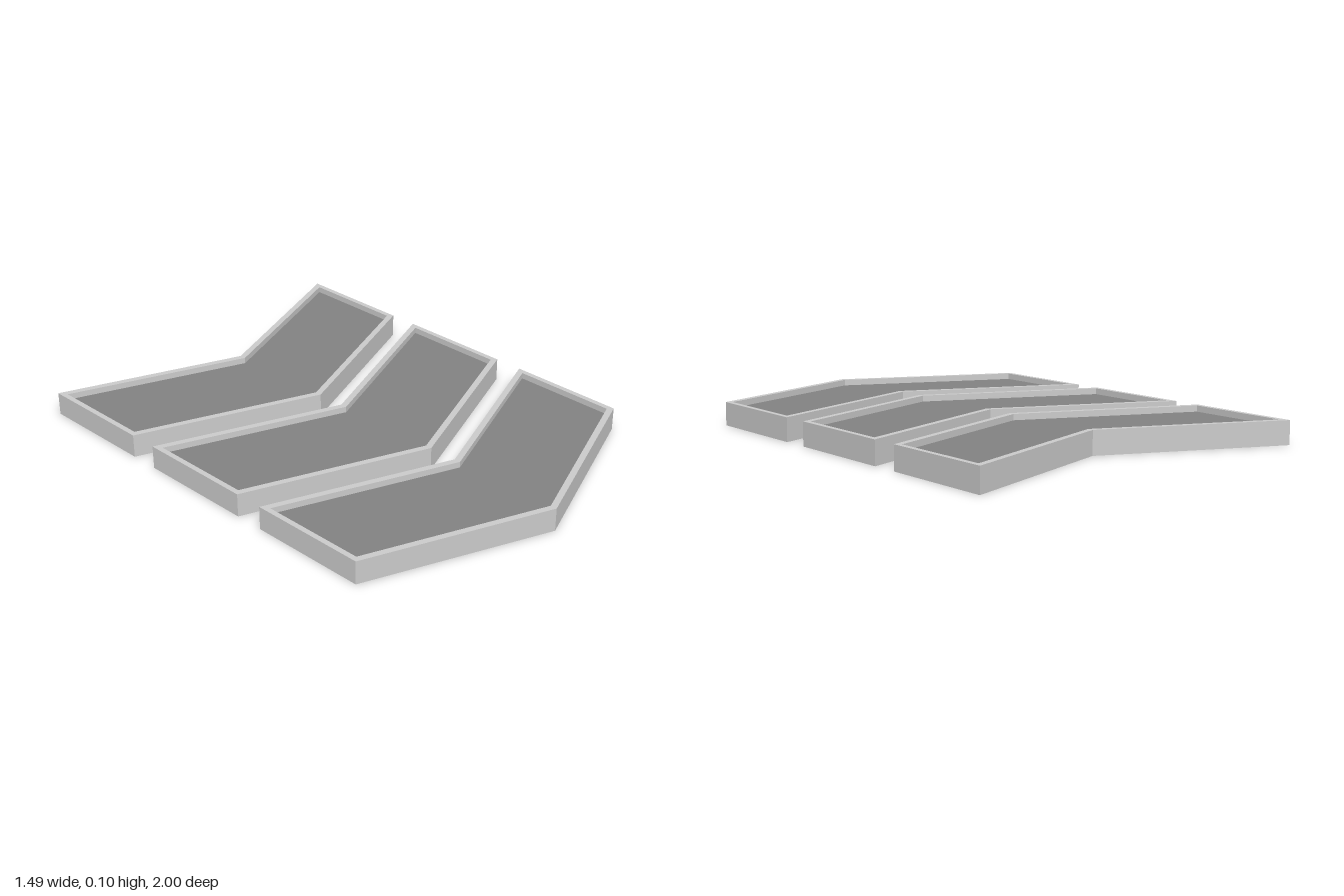
import * as THREE from 'three';

const HALF = 0.745, SWEEP = 0.29, DEPTH = 0.49, HEIGHT = 0.097;
const RECESS = 0.025, PITCH = 0.61;

// V-shaped outline at height y, inset at the ends (dx) and along the long edges (dz).
function chevron(y, dx = 0, dz = 0) {
  const x = HALF - dx, drop = SWEEP * x / HALF;
  const back = SWEEP + dz, front = SWEEP + DEPTH - dz;
  return [
    [-x, y, front - drop], [0, y, front], [x, y, front - drop],
    [x, y, back - drop], [0, y, back], [-x, y, back - drop],
  ];
}

// Flat-shaded geometry from a list of quads.
function fromQuads(quads) {
  const pos = [];
  for (const [a, b, c, d] of quads) pos.push(...a, ...b, ...c, ...a, ...c, ...d);
  const g = new THREE.BufferGeometry();
  g.setAttribute('position', new THREE.Float32BufferAttribute(pos, 3));
  g.computeVertexNormals();
  return g;
}

export function createModel() {
  const group = new THREE.Group();
  group.name = 'chevronTrays';
  const frameMat = new THREE.MeshStandardMaterial({ color: 0xcccccc, side: THREE.DoubleSide });
  const panelMat = new THREE.MeshStandardMaterial({ color: 0x828282, side: THREE.DoubleSide });

  // Frame: outer wall, narrow top rim and the step down to the panel; open below.
  const loops = [
    chevron(0), chevron(HEIGHT),
    chevron(HEIGHT, 0.022, 0.027), chevron(HEIGHT - RECESS, 0.022, 0.027),
  ];
  const quads = [];
  for (let l = 0; l < loops.length - 1; l++) {
    for (let i = 0; i < 6; i++) {
      const j = (i + 1) % 6;
      quads.push([loops[l][i], loops[l][j], loops[l + 1][j], loops[l + 1][i]]);
    }
  }
  const frameGeo = fromQuads(quads);

  // Recessed panel: one quad for each wing.
  const p = loops[3];
  const panelGeo = fromQuads([[p[0], p[1], p[4], p[5]], [p[1], p[2], p[3], p[4]]]);

  for (let i = 0; i < 3; i++) {
    const tray = new THREE.Group();
    tray.name = `chevron${i + 1}`;
    const frame = new THREE.Mesh(frameGeo, frameMat);
    frame.name = 'frame';
    const panel = new THREE.Mesh(panelGeo, panelMat);
    panel.name = 'panel';
    tray.add(frame, panel);
    tray.position.z = -1 + i * PITCH;
    group.add(tray);
  }
  return group;
}
